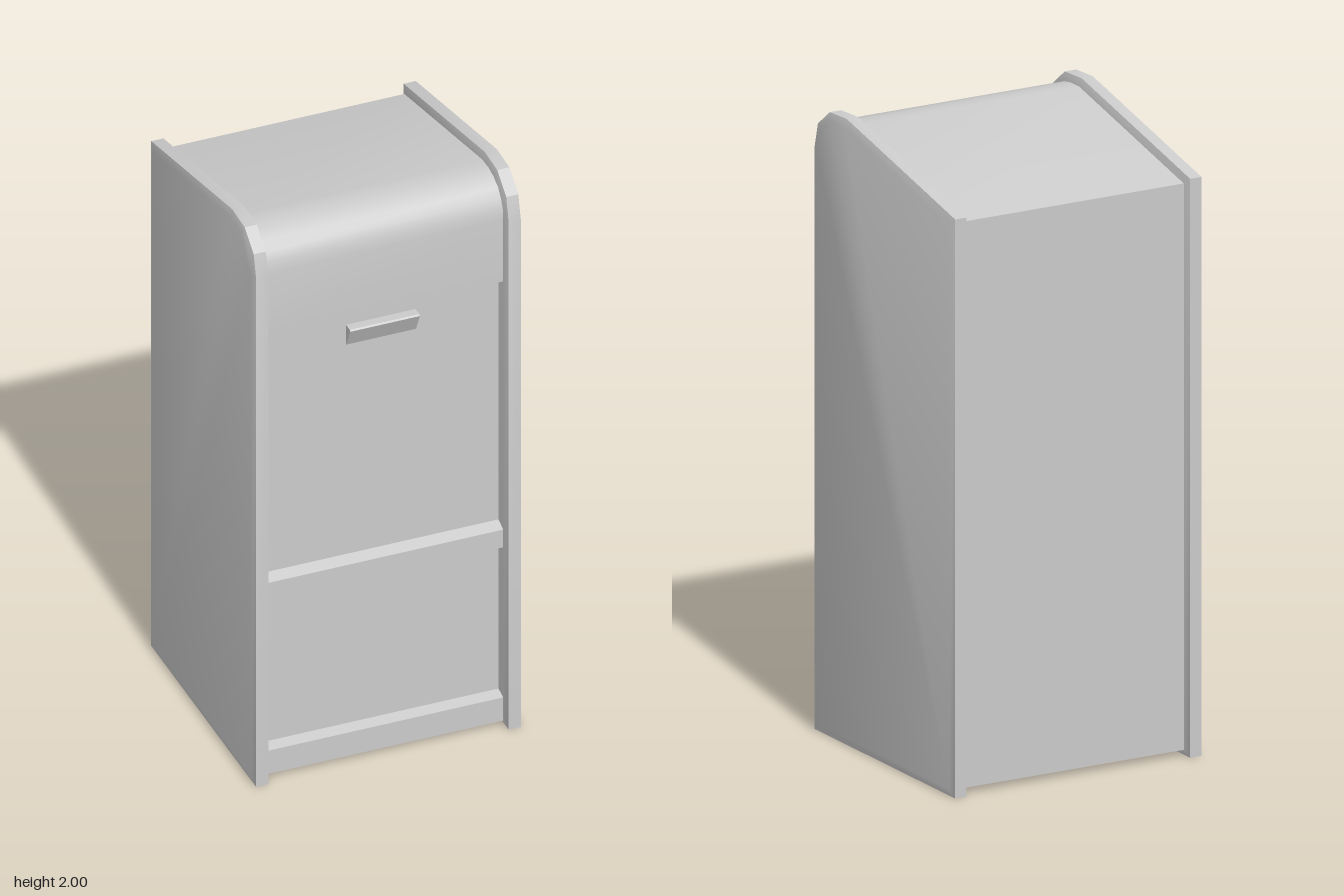
import * as THREE from 'three';
import { toCreasedNormals } from 'three/addons/utils/BufferGeometryUtils.js';

const material = new THREE.MeshStandardMaterial({ color: 0xcccccc });

// Extrudes a (z, y) profile along x, centred on x = 0.
function extrudeAcross(points, width, bevel = 0, inset = 0) {
  const shape = new THREE.Shape(points.map(([z, y]) => new THREE.Vector2(z, y)));
  const depth = width - 2 * bevel;
  const geometry = new THREE.ExtrudeGeometry(shape, {
    depth,
    bevelEnabled: bevel > 0,
    bevelThickness: bevel,
    bevelSize: inset,
    bevelOffset: -inset,
    bevelSegments: 1,
  });
  geometry.translate(0, 0, -depth / 2);
  geometry.rotateY(-Math.PI / 2);
  return toCreasedNormals(geometry, 0.6);
}

function addPart(group, name, geometry, x = 0) {
  const mesh = new THREE.Mesh(geometry, material);
  mesh.name = name;
  mesh.position.x = x;
  group.add(mesh);
}

export function createModel() {
  const group = new THREE.Group();
  group.name = 'cabinet';

  // Side panels with chamfered rims standing proud of the body
  const sideProfile = [
    [-0.422, 0], [0.422, 0], [0.422, 1.86], [0.402, 1.94],
    [0.33, 1.995], [0.23, 2], [-0.422, 1.85],
  ];
  const panel = extrudeAcross(sideProfile, 0.056, 0.008, 0.025);
  addPart(group, 'leftSidePanel', panel, 0.417);
  addPart(group, 'rightSidePanel', panel, -0.417);

  // Body between the panels, with two full-width recesses in the front
  const front = 0.397, recess = 0.36;
  const bodyProfile = [
    [-0.397, 0.02], [front, 0.02],
    [front, 0.105], [recess, 0.115], [recess, 0.655], [front, 0.655],
    [front, 0.72], [recess, 0.735], [recess, 1.63], [front, 1.63],
    [front, 1.855], [0.392, 1.89], [0.38, 1.923], [0.354, 1.949],
    [0.32, 1.968], [0.28, 1.974], [0.23, 1.974], [-0.397, 1.83],
  ];
  addPart(group, 'body', extrudeAcross(bodyProfile, 0.78));

  // Wedge-shaped pull handle, sloping back underneath
  const handleProfile = [
    [recess - 0.01, 1.505], [recess + 0.004, 1.505],
    [recess + 0.034, 1.57], [recess + 0.03, 1.575], [recess - 0.01, 1.575],
  ];
  addPart(group, 'handle', extrudeAcross(handleProfile, 0.23));

  return group;
}
